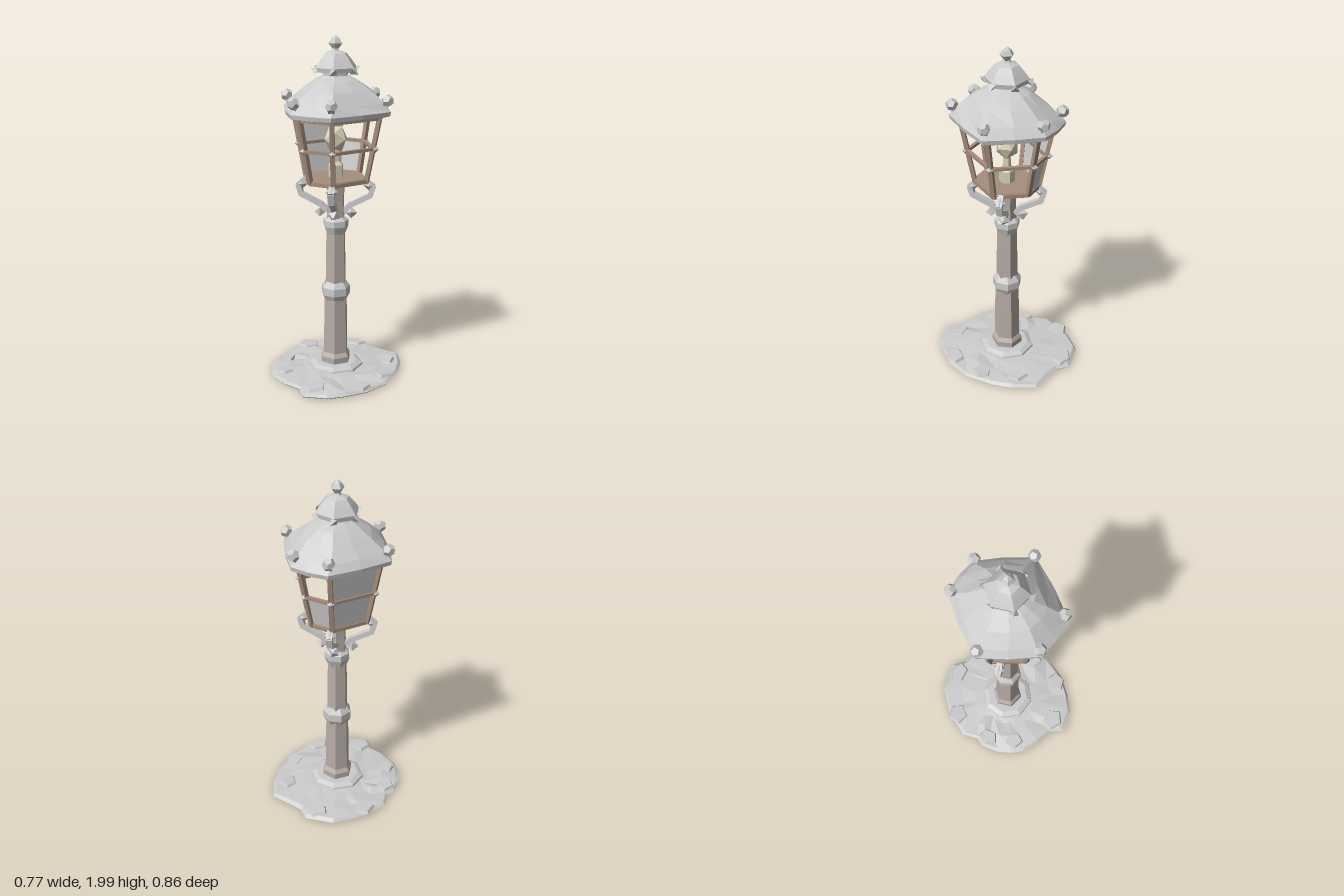
import * as THREE from 'three';

const mat = (color) => new THREE.MeshStandardMaterial({ color, flatShading: true, side: THREE.DoubleSide });
const grey = mat(0xcccccc);
const bronze = mat(0xa68e7c);
const postMat = mat(0xb9aea8);
const bulbMat = mat(0xd8d4b8);

const V = (x, y, z) => new THREE.Vector3(x, y, z);
const polar = (deg, r, y) => {
  const a = THREE.MathUtils.degToRad(deg);
  return V(r * Math.sin(a), y, -r * Math.cos(a));
};

// the lantern is an uneven hexagon
const CORNERS = [0, 41, 104, 178, 223, 287];
const hexRing = (r, y) => CORNERS.map((a) => polar(a, r, y));
// corners plus edge midpoints pushed out by bulge
const hexRing12 = (r, y, bulge = 1) => hexRing(r, y).flatMap((p, i, all) => {
  const m = p.clone().lerp(all[(i + 1) % 6], 0.5);
  m.x *= bulge; m.z *= bulge;
  return [p, m];
});

let seed = 7;
const rand = () => {
  seed = (seed * 16807) % 2147483647;
  return seed / 2147483647 - 0.5;
};
const wobble = (ring, d) => ring.map((p) => V(p.x + rand() * d, p.y + rand() * d, p.z + rand() * d));

function add(group, name, geometry, material = grey) {
  const m = new THREE.Mesh(geometry, material);
  m.name = name;
  group.add(m);
  return m;
}

// skin over rings stacked from bottom to top, closed at both ends
function loft(rings) {
  const n = rings[0].length, pos = [];
  const tri = (...pts) => pts.forEach((p) => pos.push(p.x, p.y, p.z));
  const centre = (ring) => ring.reduce((s, p) => s.add(p), V(0, 0, 0)).divideScalar(n);
  const lo = rings[0], hi = rings[rings.length - 1];
  for (let i = 0; i < n; i++) {
    const k = (i + 1) % n;
    for (let j = 0; j < rings.length - 1; j++) {
      const a = rings[j], b = rings[j + 1];
      tri(a[i], b[i], b[k]);
      tri(a[i], b[k], a[k]);
    }
    tri(centre(lo), lo[i], lo[k]);
    tri(centre(hi), hi[k], hi[i]);
  }
  const g = new THREE.BufferGeometry();
  g.setAttribute('position', new THREE.Float32BufferAttribute(pos, 3));
  g.computeVertexNormals();
  return g;
}

const lathe = (pts, sides = 6) => new THREE.LatheGeometry(pts.map(([r, y]) => new THREE.Vector2(r, y)), sides);

// square bar between two points
function beam(group, name, a, b, w, d = w, material = bronze) {
  const m = add(group, name, new THREE.BoxGeometry(w, a.distanceTo(b) + w * 0.3, d), material);
  const up = b.clone().sub(a).normalize();
  const mid = a.clone().add(b).multiplyScalar(0.5);
  const out = V(mid.x, 0, mid.z).addScaledVector(up, -V(mid.x, 0, mid.z).dot(up)).normalize();
  const side = up.clone().cross(out);
  m.quaternion.setFromRotationMatrix(new THREE.Matrix4().makeBasis(side, up, out));
  m.position.copy(mid);
  return m;
}

function ground(g) {
  const outline = [[-.04, -.43], [.13, -.41], [.17, -.34], [.26, -.29], [.36, -.24], [.385, -.09], [.375, .03],
    [.32, .2], [.22, .32], [.1, .39], [0, .43], [-.14, .42], [-.17, .33], [-.26, .27], [-.34, .19], [-.37, .12],
    [-.385, .03], [-.37, -.08], [-.33, -.12], [-.325, -.22], [-.22, -.33], [-.16, -.37]];
  const ring = (s, y) => outline.map(([x, z]) => V(x * s, y, z * s));
  add(g, 'groundPatch', loft([ring(0.97, 0.01), ring(1, 0.02), wobble(ring(0.95, 0.034), 0.012),
    wobble(ring(0.72, 0.042), 0.02), wobble(ring(0.5, 0.045), 0.012), ring(0.4, 0.05)]));
  // loose paving slabs
  for (const [deg, r, w, d] of [[12, .36, .15, .1], [325, .35, .13, .12], [70, .31, .13, .1], [150, .34, .13, .1],
    [195, .34, .14, .12], [248, .31, .11, .1], [280, .31, .12, .1], [110, .31, .12, .1]]) {
    const slab = add(g, 'pavingSlab', new THREE.CylinderGeometry(0.46, 0.55, 1, 5));
    slab.scale.set(w, 0.016, d);
    slab.position.copy(polar(deg, r, 0.043));
    slab.rotation.set(rand() * 0.12, THREE.MathUtils.degToRad(180 - deg), rand() * 0.12);
  }
  add(g, 'plinth', lathe([[0.17, 0.03], [0.16, 0.06], [0.13, 0.075], [0, 0.075]], 8));
}

function post(g) {
  add(g, 'postFoot', lathe([[0.09, 0.06], [0.092, 0.11], [0.075, 0.135]]), postMat);
  add(g, 'lowerPost', lathe([[0.076, 0.07], [0.074, 0.3], [0.07, 0.5]]), postMat);
  add(g, 'middleRing', lathe([[0.066, 0.46], [0.085, 0.495], [0.085, 0.54], [0.06, 0.575]], 7));
  add(g, 'upperPost', lathe([[0.064, 0.55], [0.061, 0.75], [0.058, 0.9]]), postMat);
  add(g, 'upperRing', lathe([[0.055, 0.86], [0.075, 0.91], [0.074, 0.945], [0.05, 0.965]], 7));
  add(g, 'neck', lathe([[0.055, 0.95], [0.052, 1.06], [0.058, 1.19]]), postMat);
}

// four scrolled supports under the lantern
function brackets(g) {
  for (const deg of [3, 92, 180, 270]) {
    const b = new THREE.Group();
    b.name = 'bracket';
    const path = [[0.05, 1.0], [0.085, 1.035], [0.2, 1.095], [0.215, 1.145], [0.17, 1.185]].map(([r, y]) => polar(deg, r, y));
    for (let i = 0; i < 4; i++) beam(b, 'bracketArm', path[i], path[i + 1], 0.034, 0.03, grey);
    const leaf = add(b, 'bracketLeaf', new THREE.OctahedronGeometry(0.035));
    leaf.position.copy(polar(deg, 0.09, 0.99));
    leaf.rotation.set(0.3, THREE.MathUtils.degToRad(-deg), 0.5);
    const scroll = add(b, 'bracketScroll', new THREE.OctahedronGeometry(0.035));
    scroll.position.copy(polar(deg, 0.195, 1.155));
    g.add(b);
  }
}

function lantern(g) {
  const floorY = 1.185, midY = 1.375, topY = 1.555;
  const rings = [hexRing(0.185, floorY), hexRing(0.225, midY), hexRing(0.26, topY)];
  add(g, 'lanternFloor', loft([hexRing(0.165, 1.17), hexRing(0.195, 1.18), hexRing(0.19, 1.2)]), bronze);
  for (let i = 0; i < 6; i++) {
    const k = (i + 1) % 6;
    beam(g, 'cornerBar', rings[0][i], rings[2][i], 0.026, 0.024);
    beam(g, 'middleRail', rings[1][i], rings[1][k], 0.018, 0.02);
    beam(g, 'bottomRail', rings[0][i], rings[0][k], 0.022, 0.022);
    beam(g, 'topRail', rings[2][i], rings[2][k], 0.028, 0.022);
    const stud = add(g, 'railStud', new THREE.OctahedronGeometry(0.022));
    stud.position.copy(polar(CORNERS[i], 0.235, midY));
  }
  // surviving panes: one full side at the back, one lower half
  const pane = (i, lo, hi) => {
    const k = (i + 1) % 6;
    const geo = new THREE.BufferGeometry().setFromPoints([lo[i], hi[i], hi[k], lo[k]]);
    geo.setIndex([0, 1, 2, 0, 2, 3]);
    geo.computeVertexNormals();
    add(g, 'pane', geo);
  };
  pane(5, rings[0], rings[2]);
  pane(0, rings[0], rings[1]);
  // lamp inside
  add(g, 'lampSocket', lathe([[0.045, 1.19], [0.045, 1.27], [0.025, 1.29], [0.02, 1.36]]), bulbMat);
  const bulb = add(g, 'bulb', new THREE.IcosahedronGeometry(0.07, 0), bulbMat);
  bulb.position.set(0, 1.42, 0);
  bulb.scale.y = 1.15;
}

function roof(g) {
  add(g, 'roof', loft([hexRing12(0.26, 1.55), hexRing12(0.32, 1.565, 1.04), hexRing12(0.325, 1.59, 1.04),
    wobble(hexRing12(0.285, 1.635, 1.03), 0.015), wobble(hexRing12(0.205, 1.7, 1.06), 0.015),
    wobble(hexRing12(0.13, 1.75, 1.08), 0.008), hexRing12(0.075, 1.78, 1.08)]));
  for (const deg of CORNERS) {
    const knob = new THREE.Group();
    knob.name = 'cornerKnob';
    beam(knob, 'knobStem', polar(deg, 0.27, 1.595), polar(deg, 0.3, 1.64), 0.035, 0.035, grey);
    const tip = add(knob, 'knobTip', new THREE.DodecahedronGeometry(0.036));
    tip.position.copy(polar(deg, 0.305, 1.65));
    tip.rotation.y = THREE.MathUtils.degToRad(-deg);
    g.add(knob);
  }
  // small cap with spurs, then the finial
  add(g, 'capNeck', lathe([[0.1, 1.755], [0.075, 1.78], [0.075, 1.82]]));
  add(g, 'cap', lathe([[0, 1.81], [0.12, 1.8], [0.125, 1.825], [0.095, 1.865], [0.065, 1.9], [0.02, 1.915], [0, 1.915]]));
  for (let i = 0; i < 6; i++) {
    const spur = add(g, 'capSpur', new THREE.TetrahedronGeometry(0.03));
    spur.position.copy(polar(i * 60, 0.125, 1.808));
    spur.rotation.y = i;
  }
  add(g, 'finial', lathe([[0.032, 1.9], [0.018, 1.925], [0.04, 1.955], [0.025, 1.98], [0, 2.0]], 5));
}

export function createModel() {
  const model = new THREE.Group();
  model.name = 'streetLamp';
  for (const build of [ground, post, brackets, lantern, roof]) {
    const part = new THREE.Group();
    part.name = build.name;
    build(part);
    model.add(part);
  }
  return model;
}
